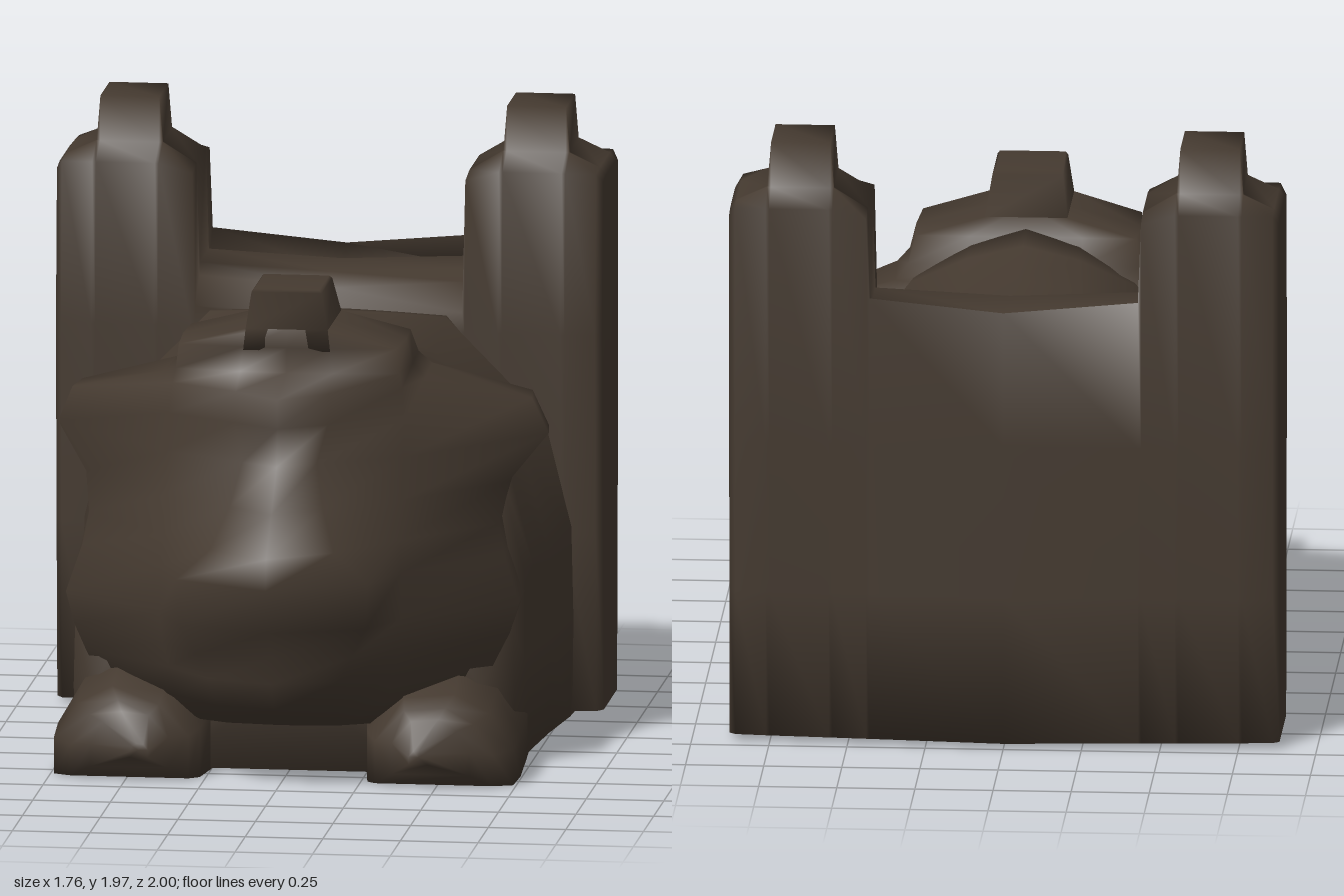
import * as THREE from 'three';

// Skin a closed, smooth surface over a list of rings of [x, y, z] points.
function loft(rings) {
  const n = rings[0].length, pos = [], idx = [];
  rings.forEach(r => r.forEach(p => pos.push(...p)));
  for (let i = 0; i < rings.length - 1; i++) {
    for (let j = 0; j < n; j++) {
      const a = i * n + j, b = i * n + (j + 1) % n;
      idx.push(a, b, b + n, a, b + n, a + n);
    }
  }
  // end caps fan out from the ring centres
  [0, rings.length - 1].forEach((i, end) => {
    const c = pos.length / 3;
    pos.push(...[0, 1, 2].map(k => rings[i].reduce((s, p) => s + p[k], 0) / n));
    for (let j = 0; j < n; j++) {
      const a = i * n + j, b = i * n + (j + 1) % n;
      if (end) idx.push(a, b, c); else idx.push(b, a, c);
    }
  });
  // turn the surface outward if its signed volume is negative
  const v = k => new THREE.Vector3().fromArray(pos, idx[k] * 3);
  let volume = 0;
  for (let k = 0; k < idx.length; k += 3) volume += v(k).dot(v(k + 1).cross(v(k + 2)));
  if (volume < 0) idx.reverse();
  const g = new THREE.BufferGeometry();
  g.setAttribute('position', new THREE.Float32BufferAttribute(pos, 3));
  g.setIndex(idx);
  g.computeVertexNormals();
  return g;
}

// Complete a half outline whose first and last points lie on x = 0.
const mirrored = half => [...half, ...half.slice(1, -1).reverse().map(([x, y, z]) => [-x, y, z])];

export function createModel() {
  const model = new THREE.Group();
  const stone = new THREE.MeshStandardMaterial({ color: 0x453a30 });
  stone.name = 'dark brown stone';
  const add = (name, geometry) => {
    const m = new THREE.Mesh(geometry, stone);
    m.name = name;
    model.add(m);
  };

  // Wall with two towers: x, front y, shoulder y, pinnacle y, back y, inset
  const half = [
    [0.88, 1.74, 1.75, 1.75, 1.74, 0.035],
    [0.86, 1.77, 1.775, 1.775, 1.77, 0.005],
    [0.762, 1.77, 1.82, 1.82, 1.77, 0],
    [0.75, 1.77, 1.82, 1.965, 1.77, 0],
    [0.56, 1.77, 1.82, 1.965, 1.77, 0],
    [0.548, 1.77, 1.82, 1.82, 1.77, 0],
    [0.44, 1.74, 1.755, 1.755, 1.74, 0],
    [0.43, 1.31, 1.39, 1.43, 1.48, 0],
    [0, 1.30, 1.36, 1.41, 1.44, -0.008],
  ];
  const stations = [...half, ...half.slice(0, -1).reverse().map(s => [-s[0], ...s.slice(1)])];
  add('towerWall', loft(stations.map(([x, front, shoulder, top, back, i]) => {
    // the foot of the back face recedes toward the corners
    const foot = 0.06 * Math.abs(x) / 0.88;
    return [
      [x, 0.02, -0.56 - i], [x, 0.6, -0.54 - i], [x, 1.25, -0.525 - i], [x, front, -0.55 - i],
      [x, shoulder, -0.65], [x, top, -0.662], [x, top, -0.882], [x, shoulder, -0.895],
      [x, back, -0.98 + i], [x, 1.0, -0.985 + i], [x, 0.5, -0.99 + i + foot * 0.4],
      [x, 0.02, -1.0 + i * 0.5 + foot],
    ];
  })));

  // Torso, sections running forward: z, side width, shoulder x, shoulder y, top y
  add('body', loft([
    [-0.6, 0.79, 0.38, 1.30, 1.31],
    [-0.52, 0.787, 0.38, 1.30, 1.315],
    [-0.25, 0.755, 0.38, 1.24, 1.355],
    [0.0, 0.735, 0.36, 1.27, 1.395],
    [0.14, 0.725, 0.34, 1.28, 1.415],
    [0.3, 0.71, 0.32, 0.95, 1.1],
    [0.43, 0.62, 0.28, 0.6, 0.7],
  ].map(([z, w, sx, sy, top]) => mirrored([
    [0, 0.005, z], [w * 0.6, 0.005, z], [w - 0.005, 0.01, z], [w, sy * 0.25, z],
    [w - 0.005, sy * 0.48, z], [w - 0.09, sy * 0.75, z], [sx, sy, z],
    [sx * 0.5, sy * 0.35 + top * 0.65, z], [0, top, z],
  ]))));

  // Forelegs and paws: z, inner x, outer x, bottom y, top y
  for (const s of [1, -1]) {
    add(s > 0 ? 'leftPaw' : 'rightPaw', loft([
      [-0.3, 0.3, 0.70, 0.01, 0.3],
      [0.15, 0.28, 0.728, 0, 0.36],
      [0.42, 0.25, 0.745, 0, 0.34],
      [0.56, 0.27, 0.74, 0, 0.29],
      [0.61, 0.30, 0.68, 0.005, 0.255],
      [0.65, 0.36, 0.61, 0.045, 0.225],
      [0.69, 0.42, 0.48, 0.085, 0.13],
    ].map(([z, a, b, y0, y1]) => {
      const w = b - a, h = y1 - y0;
      return [
        [a, y0, z], [b, y0, z], [b, y0 + h * 0.4, z], [b - w * 0.16, y0 + h * 0.8, z],
        [b - w * 0.4, y1, z], [a + w * 0.25, y1 - h * 0.05, z], [a, y0 + h * 0.55, z],
      ].map(([x, y, zz]) => [s * x, y, zz]);
    })));
  }

  // Head and mane: y, nose z, x/z of muzzle, x/z of cheek, x/z of mane rim, mane back z
  add('headAndMane', loft([
    [0.18, 0.58, 0.18, 0.56, 0.30, 0.50, 0.42, 0.36, 0.1],
    [0.27, 0.79, 0.20, 0.73, 0.34, 0.58, 0.61, 0.38, 0],
    [0.37, 0.87, 0.21, 0.80, 0.36, 0.62, 0.66, 0.38, 0],
    [0.45, 0.85, 0.25, 0.80, 0.38, 0.63, 0.70, 0.36, 0],
    [0.55, 0.94, 0.30, 0.84, 0.39, 0.65, 0.73, 0.34, 0],
    [0.70, 1.00, 0.31, 0.85, 0.39, 0.65, 0.68, 0.32, 0.02],
    [0.80, 0.99, 0.20, 0.85, 0.38, 0.62, 0.66, 0.30, 0.02],
    [0.92, 0.86, 0.15, 0.74, 0.38, 0.57, 0.68, 0.22, -0.04],
    [1.05, 0.73, 0.12, 0.66, 0.38, 0.52, 0.79, 0.07, -0.06],
    [1.17, 0.71, 0.15, 0.62, 0.38, 0.49, 0.74, 0.10, -0.03],
    [1.265, 0.72, 0.15, 0.59, 0.37, 0.47, 0.42, 0.28, 0.04],
    [1.31, 0.49, 0.15, 0.485, 0.36, 0.46, 0.38, 0.28, 0.08],
    [1.39, 0.485, 0.14, 0.483, 0.35, 0.46, 0.36, 0.28, 0.13],
    [1.45, 0.485, 0.06, 0.484, 0.13, 0.482, 0.132, 0.3, 0.15],
  ].map(([y, nose, ax, az, bx, bz, cx, cz, back]) => {
    // the nape swells back behind the ears
    const nape = y > 0.9 && y < 1.3 ? back - 0.07 : back;
    return mirrored([
      [0, y, nose], [ax, y, az], [bx, y, bz], [cx, y, cz], [cx * 0.98, y, back],
      [cx * 0.5, y, nape], [0, y, nape],
    ]);
  })));

  // Raised block on the crown: y, half width, back z
  add('crest', loft([[1.38, 0.14, 0.13], [1.45, 0.132, 0.15], [1.57, 0.113, 0.225], [1.58, 0.105, 0.24]]
    .map(([y, w, back]) => [[-w, y, 0.484], [w, y, 0.484], [w, y, back], [-w, y, back]])));

  return model;
}
